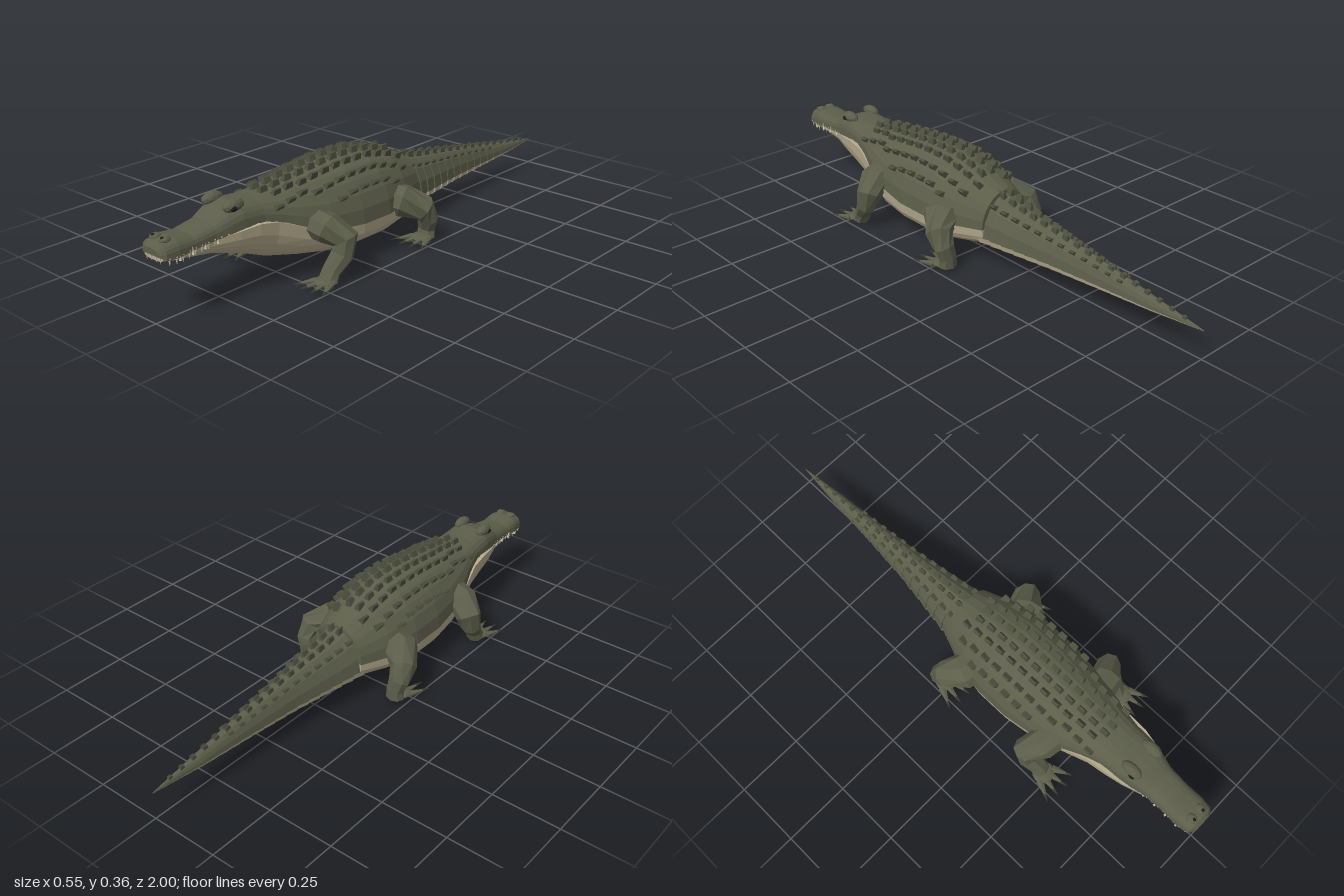
import * as THREE from 'three';

const mat = (name, color) => Object.assign(new THREE.MeshStandardMaterial({ color }), { name });
const { lerp } = THREE.MathUtils;

// Sections along the animal: z, half width, seam height, top or bottom height, squareness
const BACK = [
  [1.0, .036, .222, .245, 2.5], [.985, .058, .213, .262, 2.8], [.94, .064, .211, .269, 3],
  [.88, .062, .217, .261, 3], [.8, .066, .222, .274, 3], [.75, .078, .228, .298, 3],
  [.7, .086, .236, .311, 3], [.62, .092, .236, .304, 2.5], [.55, .11, .215, .306, 2.2],
  [.48, .135, .185, .315, 2], [.38, .161, .15, .326, 2], [.25, .178, .137, .337, 2],
  [.12, .178, .135, .335, 2], [0, .155, .135, .309, 2], [-.07, .128, .138, .28, 2],
  [-.12, .108, .14, .262, 2],
];
const BELLY = [
  [.99, .044, .214, .202, 2.5], [.94, .056, .212, .192, 2.5], [.88, .057, .218, .18, 2.5],
  [.8, .064, .223, .165, 2.4], [.72, .09, .233, .14, 2.3], [.65, .104, .239, .115, 2.3],
  [.58, .11, .226, .085, 2.4], [.48, .135, .185, .062, 2.6], [.38, .161, .15, .048, 2.8],
  [.25, .178, .137, .041, 2.8], [.12, .178, .135, .04, 2.8], [0, .155, .135, .05, 2.8],
  [-.12, .108, .14, .066, 2.8],
];
// Tail: z, half width, top, bottom
const TAIL = [
  [-.1, .108, .256, .066], [-.2, .09, .232, .067], [-.4, .058, .2, .071],
  [-.6, .038, .166, .077], [-.8, .023, .131, .085], [-1, .001, .099, .096],
];

// Linear lookup in a section table ordered from front to back
function sample(table, z) {
  let i = 0;
  while (i < table.length - 2 && z < table[i + 1][0]) i++;
  const a = table[i], b = table[i + 1];
  const t = THREE.MathUtils.clamp((z - a[0]) / (b[0] - a[0]), 0, 1);
  return a.map((v, k) => lerp(v, b[k], t));
}

// Skin over closed rings of points, capped at both ends, flat faceted
function loft(rings, flip = false) {
  const pos = [];
  const tri = (a, b, c) => (flip ? [a, c, b] : [a, b, c]).forEach(p => pos.push(p.x, p.y, p.z));
  const n = rings[0].length;
  const centre = r => r.reduce((s, p) => s.add(p), new THREE.Vector3()).divideScalar(n);
  const first = rings[0], last = rings[rings.length - 1];
  const c0 = centre(first), c1 = centre(last);
  for (let j = 0; j < n; j++) {
    const k = (j + 1) % n;
    for (let i = 0; i < rings.length - 1; i++) {
      const a = rings[i], b = rings[i + 1];
      tri(a[j], b[j], a[k]);
      tri(a[k], b[j], b[k]);
    }
    tri(c0, first[j], first[k]);
    tri(c1, last[k], last[j]);
  }
  const g = new THREE.BufferGeometry();
  g.setAttribute('position', new THREE.Float32BufferAttribute(pos, 3));
  g.computeVertexNormals();
  return g;
}

// Half-oval ring from the left seam over the crown (or keel) to the right seam
function halfRing([z, w, mid, end, n], steps = 12) {
  return Array.from({ length: steps + 1 }, (_, i) => {
    const a = Math.PI * i / steps, c = Math.cos(a), s = Math.max(0, Math.sin(a));
    return new THREE.Vector3(w * Math.sign(c) * Math.abs(c) ** (2 / n),
      mid + (end - mid) * s ** (2 / n), z);
  });
}

// Faceted limb through joints: x, y, z, width radius, depth radius
function limb(joints, side, sides = 8) {
  const p = joints.map(j => new THREE.Vector3(j[0] * side, j[1], j[2]));
  const rings = p.map((c, i) => {
    const t = p[Math.min(i + 1, p.length - 1)].clone().sub(p[Math.max(i - 1, 0)]).normalize();
    const u = t.clone().cross(new THREE.Vector3(0, 0, 1)).normalize();
    const v = u.clone().cross(t);
    return Array.from({ length: sides }, (_, k) => {
      const a = k / sides * Math.PI * 2;
      return c.clone().addScaledVector(u, Math.cos(a) * joints[i][3]).addScaledVector(v, Math.sin(a) * joints[i][4]);
    });
  });
  return loft(rings);
}

function flat(g) {
  const out = g.index ? g.toNonIndexed() : g;
  out.computeVertexNormals();
  return out;
}

// Unit ridge plate: a block pinched to a narrow crest
function scuteGeometry() {
  const g = new THREE.BoxGeometry(1, 1, 1), p = g.attributes.position;
  for (let i = 0; i < p.count; i++) {
    if (p.getY(i) > 0) p.setXYZ(i, p.getX(i) * .3, .5, p.getZ(i) * .75 - .08);
  }
  return flat(g);
}

export function createModel() {
  const model = new THREE.Group();
  model.name = 'crocodile';
  const hide = mat('olive hide', 0x5c5e4a), plate = mat('dark scutes', 0x4d4f3e);
  const cream = mat('cream belly', 0xb3a98b), ivory = mat('ivory teeth', 0xcbc2a6);
  const claw = mat('dark claws', 0x3b3b30), black = mat('black eyes', 0x1c1b16);
  const add = (name, geo, material, parent = model) => {
    const m = new THREE.Mesh(geo, material);
    m.name = name;
    parent.add(m);
    return m;
  };
  const group = name => {
    const g = new THREE.Group();
    g.name = name;
    model.add(g);
    return g;
  };

  add('headAndBack', loft(BACK.map(r => halfRing(r))), hide);
  add('jawAndBelly', loft(BELLY.map(r => halfRing(r)), true), cream);

  // Tail of overlapping tapered bands
  const tail = group('tail'), bands = 18;
  for (let i = 0; i < bands; i++) {
    const ends = [i, i + 1].map((k, e) => {
      const [z, w, top, bottom] = sample(TAIL, lerp(-.1, -1, k / bands));
      return { z, w: w * (e ? .96 : 1.02), top, bottom, mid: lerp(bottom, top, .22) };
    });
    add('tailBand', loft(ends.map(s => halfRing([s.z, s.w, s.mid, s.top, 1.9], 8))), hide, tail);
    add('tailUnderside', loft(ends.map(s => halfRing([s.z, s.w, s.mid, s.bottom, 3], 8)), true), cream, tail);
  }

  // Scutes in staggered rows over the back, then along the tail
  const scutes = group('scutes'), ridge = scuteGeometry();
  const scute = (x, y, z, roll, w, h, l) => {
    const m = add('scute', ridge, plate, scutes);
    m.position.set(x, y, z);
    m.rotation.z = roll;
    m.scale.set(w, h, l);
  };
  [.022, .062, .108, .145].forEach((x0, col) => {
    for (let i = 0; i < 12; i++) {
      const z = .565 - i * .053 - (col % 2) * .026;
      const [, w, mid, top] = sample(BACK, z);
      const x = z > .45 ? x0 * .85 : x0;
      if (x > w * .88 || (col === 3 && (z < .06 || z > .42))) continue;
      const c = x / w, s = Math.sqrt(1 - c * c), y = mid + (top - mid) * s;
      const roll = Math.atan2(c / w, s / (top - mid));
      for (const side of [-1, 1]) scute(side * x, y + .004, z, -side * roll, .026, .03, .036);
    }
  });
  for (let i = 0; i < bands - 1; i++) {
    const [z, w, top, bottom] = sample(TAIL, -.1 - (i + .5) * .9 / bands);
    const k = lerp(1, .45, i / bands), mid = lerp(bottom, top, .22);
    for (const side of [-1, 1]) {
      scute(side * w * .17, top, z, -side * .15, .022 * k, .028 * k, .034 * k);
      if (i < 12) scute(side * w * .6, mid + (top - mid) * .78, z, -side * .9, .022 * k, .022 * k, .034 * k);
    }
  }

  // Brows, eyes and nostrils
  const face = group('face');
  const ball = flat(new THREE.IcosahedronGeometry(1, 1));
  for (const s of [-1, 1]) {
    const brow = add('brow', ball, hide, face);
    brow.position.set(s * .05, .307, .715);
    brow.scale.set(.022, .022, .042);
    const eye = add('eye', ball, black, face);
    eye.position.set(s * .067, .303, .728);
    eye.scale.set(.008, .009, .013);
    const nose = add('nostrilBump', ball, hide, face);
    nose.position.set(s * .022, .264, .962);
    nose.scale.set(.017, .011, .02);
    const nostril = add('nostril', ball, black, face);
    nostril.position.set(s * .022, .271, .971);
    nostril.scale.set(.006, .005, .007);
  }

  // Upper teeth hang outside the lower jaw, lower teeth stand between them
  const teeth = group('teeth'), tooth = flat(new THREE.ConeGeometry(.0055, .028, 5));
  for (const s of [-1, 1]) {
    for (let i = 0; i < 10; i++) {
      const z = .975 - i * .024, [, w, mid] = sample(BACK, z);
      const up = add('upperTooth', tooth, ivory, teeth);
      up.position.set(s * (w - .004), mid - .008, z);
      up.rotation.x = Math.PI;
      if (i % 2) add('lowerTooth', tooth, ivory, teeth).position.set(s * (w - .001), mid + .003, z - .012);
    }
    for (const x of [.012, .032]) {
      const front = add('frontTooth', tooth, ivory, teeth);
      front.position.set(s * x, .209, .99);
      front.rotation.x = Math.PI;
    }
  }

  // Legs with broad thighs, bent joints and splayed clawed toes
  const frontJoints = [[.1, .185, .43, .05, .06], [.165, .172, .42, .05, .058], [.215, .135, .388, .05, .044],
    [.215, .085, .405, .04, .036], [.204, .04, .445, .034, .027], [.204, .008, .462, .036, .03]];
  const hindJoints = [[.09, .16, .05, .055, .07], [.165, .155, .035, .056, .066], [.215, .125, -.015, .048, .048],
    [.215, .08, -.04, .04, .034], [.204, .04, -.048, .034, .026], [.204, .008, -.045, .036, .03]];
  const toe = flat(new THREE.ConeGeometry(.016, .085, 6).rotateX(Math.PI / 2).translate(0, 0, .0425));
  const nail = flat(new THREE.ConeGeometry(.007, .032, 5).rotateX(Math.PI / 2).translate(0, 0, .074));
  for (const s of [-1, 1]) {
    for (const [name, joints, zFoot, reach] of [['frontLeg', frontJoints, .475, 1], ['hindLeg', hindJoints, -.02, 1.05]]) {
      const leg = group(name);
      add('limb', limb(joints, s), hide, leg);
      const palm = add('palm', ball, hide, leg);
      palm.position.set(s * .205, .013, zFoot);
      palm.scale.set(.042, .013, .04);
      for (let i = 0; i < 4; i++) {
        const k = i - 1.5;
        for (const [part, geo, m] of [['toe', toe, hide], ['claw', nail, claw]]) {
          const t = add(part, geo, m, leg);
          t.position.set(s * .205 + k * .021, .011, zFoot + .012);
          t.rotation.y = k * .3;
          t.scale.set(1, .65, reach * (1 - Math.abs(k) * .07));
        }
      }
    }
  }
  return model;
}
